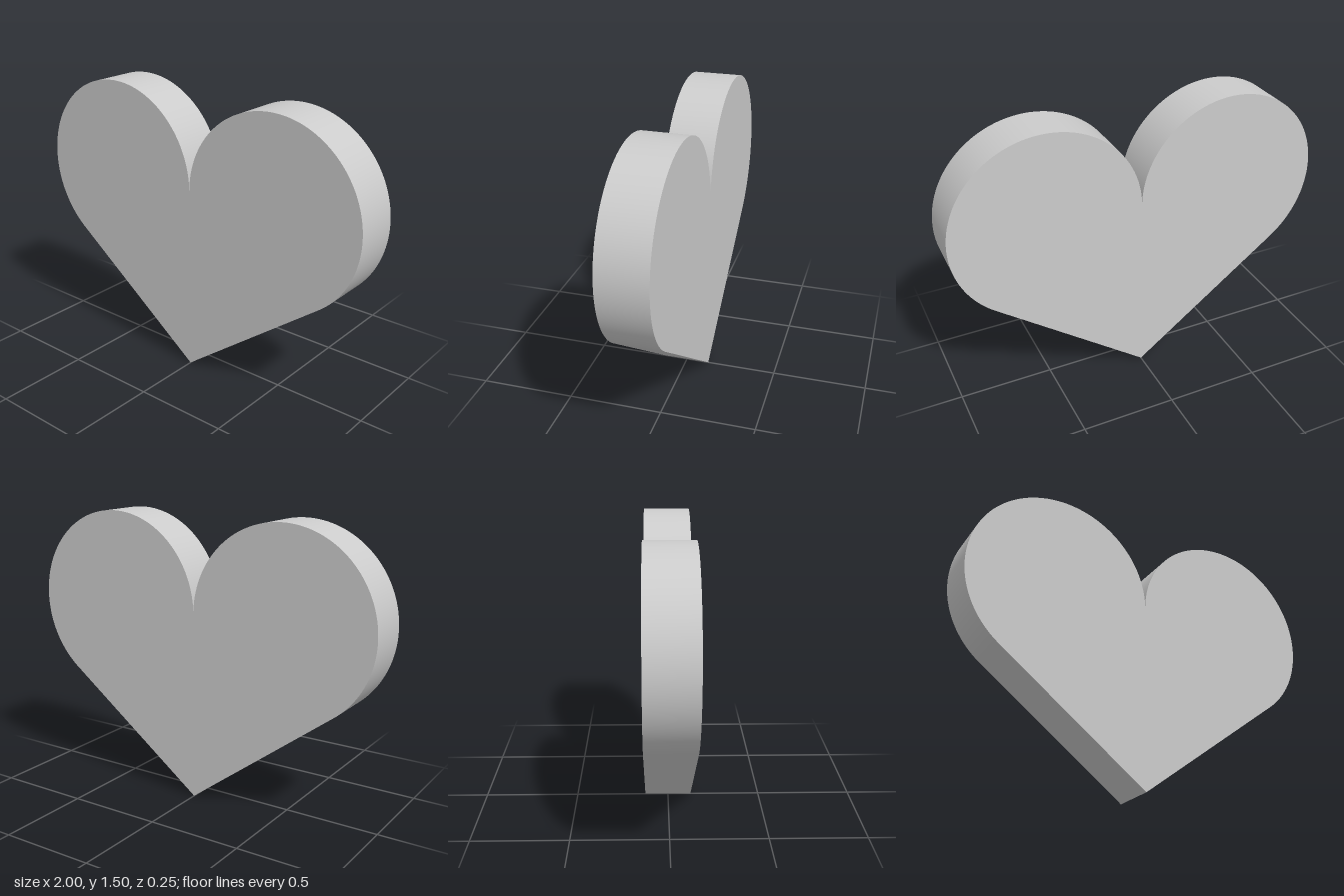
import * as THREE from 'three';
import { toCreasedNormals } from 'three/addons/utils/BufferGeometryUtils.js';

export function createModel() {
  const radius = 0.5;
  const centreY = 1;
  const depth = 0.25;
  // Angle below horizontal where the straight sides meet the lobes tangentially
  const tangent = Math.atan2(0.4, 0.3);

  // Heart outline: point at the bottom, two round lobes meeting in a cusp
  const outline = new THREE.Shape();
  outline.moveTo(0, 0);
  outline.lineTo(0.8, 0.6);
  outline.absarc(radius, centreY, radius, -tangent, Math.PI, false);
  outline.absarc(-radius, centreY, radius, 0, Math.PI + tangent, false);
  outline.lineTo(0, 0);

  // Straight extrusion, smooth round the lobes and sharp at the rims
  const geometry = new THREE.ExtrudeGeometry(outline, { depth, bevelEnabled: false, curveSegments: 64 });
  geometry.translate(0, 0, -depth / 2);

  const heart = new THREE.Mesh(
    toCreasedNormals(geometry, Math.PI / 6),
    new THREE.MeshStandardMaterial({ color: 0xcccccc })
  );
  heart.name = 'heart';

  const group = new THREE.Group();
  group.name = 'heartPlate';
  group.add(heart);
  return group;
}
